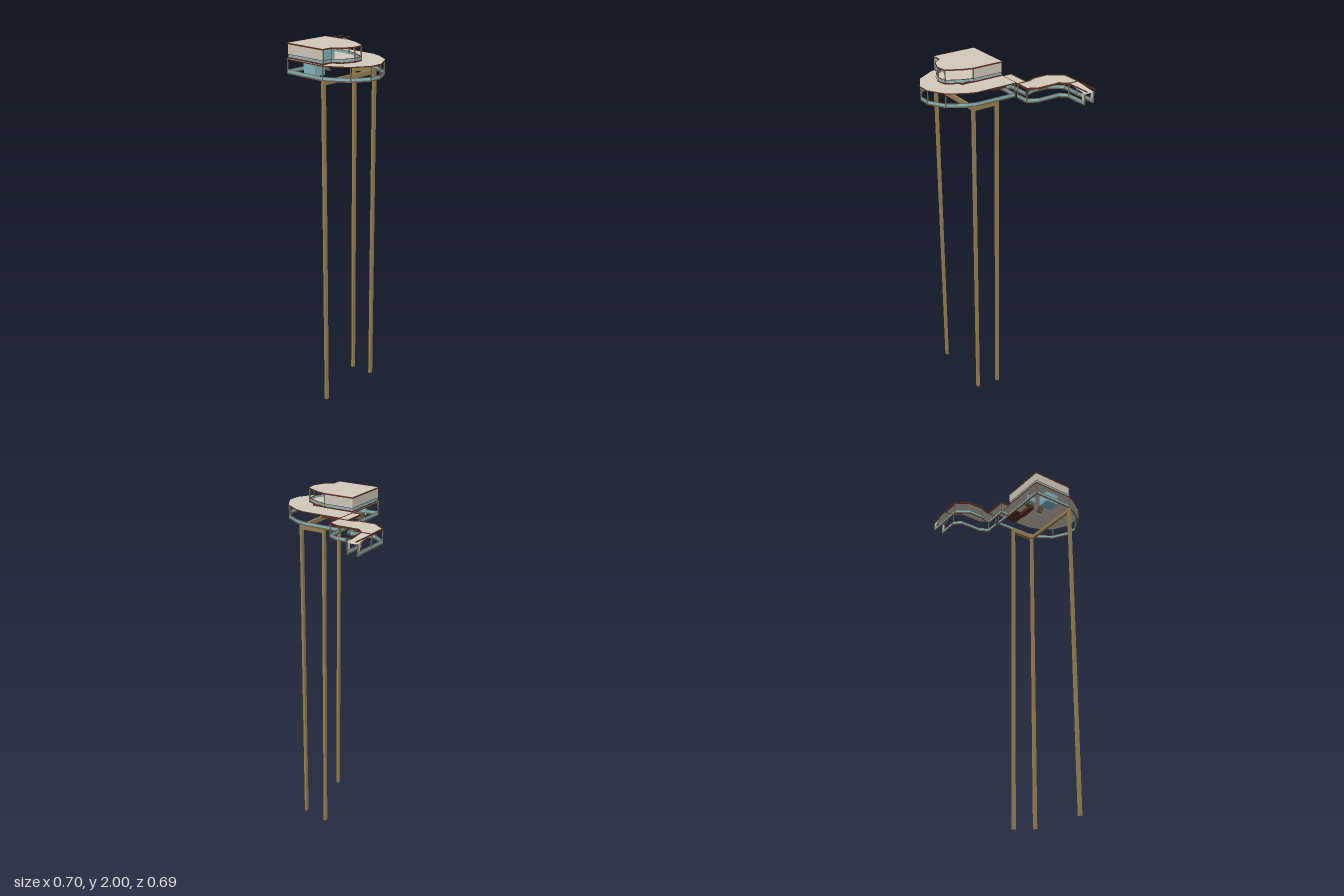
import * as THREE from 'three';

const mat = (name, color) => Object.assign(new THREE.MeshStandardMaterial({ color }), { name });
const M = {
  panel: mat('warm grey panel', 0xd2cabb),
  trim: mat('red brown trim', 0x5c3020),
  timber: mat('tan timber', 0x9a8252),
  glass: mat('pale teal glass', 0x86b7bf),
  frame: mat('olive grey frame', 0x6c6450),
};

// Plan outlines as [x, z]
const DECK = [[-0.075, -0.045], [0.155, -0.045], [0.21, -0.028], [0.298, 0.025], [0.351, 0.115],
  [0.351, 0.185], [0.298, 0.275], [0.21, 0.33], [0.175, 0.346], [-0.075, 0.346]];
const UPPER = [[-0.072, 0.073], [0.1, 0.073], [0.155, 0.088], [0.237, 0.13], [0.245, 0.185],
  [0.22, 0.25], [0.175, 0.283], [0.175, 0.34], [-0.072, 0.34]];
const WALK = [[-0.349, -0.205], [-0.293, -0.205], [-0.257, -0.17], [-0.127, -0.17], [-0.075, -0.143],
  [-0.075, -0.063], [-0.145, -0.063], [-0.19, -0.045], [-0.277, -0.045], [-0.349, -0.098]];
const LINK = [[-0.127, -0.063], [-0.075, -0.063], [-0.075, 0.07], [-0.127, 0.07]];
const RAMP = [[-0.349, -0.332], [-0.293, -0.332], [-0.293, -0.205], [-0.349, -0.205]];

// Pulls an outline slightly in towards its middle, so that rails sit under the roof edge
const inset = (pts, d) => {
  const cx = pts.reduce((s, p) => s + p[0], 0) / pts.length;
  const cz = pts.reduce((s, p) => s + p[1], 0) / pts.length;
  return pts.map(([x, z]) => {
    const k = 1 - d / Math.hypot(x - cx, z - cz);
    return [cx + (x - cx) * k, cz + (z - cz) * k];
  });
};

export function createModel() {
  const root = new THREE.Group();
  root.name = 'stiltHouse';

  const add = (parent, name, geo, material) => {
    const m = new THREE.Mesh(geo, material);
    m.name = name;
    parent.add(m);
    return m;
  };
  const group = (name) => {
    const g = new THREE.Group();
    g.name = name;
    root.add(g);
    return g;
  };
  // Box given by its limits
  const box = (parent, name, x0, x1, y0, y1, z0, z1, material) => {
    const m = add(parent, name, new THREE.BoxGeometry(x1 - x0, y1 - y0, z1 - z0), material);
    m.position.set((x0 + x1) / 2, (y0 + y1) / 2, (z0 + z1) / 2);
  };
  // Flat slab over a plan outline, with its own edge colour
  const slab = (parent, name, pts, y0, y1, edge = M.trim) => {
    const shape = new THREE.Shape(pts.map(([x, z]) => new THREE.Vector2(x, z)));
    const geo = new THREE.ExtrudeGeometry(shape, { depth: y1 - y0, bevelEnabled: false });
    geo.rotateX(Math.PI / 2).translate(0, y1, 0);
    add(parent, name, geo, [M.panel, edge]);
  };
  // Upright strip between two plan points
  const strip = (parent, name, [ax, az], [bx, bz], y0, y1, w, material) => {
    const m = add(parent, name, new THREE.BoxGeometry(Math.hypot(bx - ax, bz - az) + w * 0.5, y1 - y0, w), material);
    m.position.set((ax + bx) / 2, (y0 + y1) / 2, (az + bz) / 2);
    m.rotation.y = -Math.atan2(bz - az, bx - ax);
  };
  const ring = (parent, name, pts, y0, y1, w, material, skip = []) => pts.forEach((p, i) => {
    if (!skip.includes(i)) strip(parent, name, p, pts[(i + 1) % pts.length], y0, y1, w, material);
  });
  const railing = (parent, pts, y, skip, rail = M.frame) => {
    ring(parent, 'railingGlass', pts, y, y + 0.012, 0.002, M.glass, skip);
    ring(parent, 'handrail', pts, y + 0.012, y + 0.0145, 0.004, rail, skip);
  };
  // Open floor frame with a glass railing on it
  const openFloor = (parent, pts, skip) => {
    ring(parent, 'floorFrame', pts, 1.845, 1.852, 0.007, M.frame, skip);
    railing(parent, pts, 1.852, skip);
  };
  const posts = (parent, pts, y0, y1) => pts.forEach(([x, z]) =>
    box(parent, 'post', x - 0.0025, x + 0.0025, y0, y1, z - 0.0025, z + 0.0025, M.frame));

  // Stilts and the beams joining them
  const stilts = group('stilts');
  [[0.034, -0.033, 0], [0.174, -0.033, 0.02], [0.174, 0.335, 0.02]].forEach(([x, z, y]) =>
    box(stilts, 'stilt', x - 0.007, x + 0.007, y, 1.846, z - 0.01, z + 0.01, M.timber));
  box(stilts, 'crossBeam', 0.027, 0.181, 1.824, 1.846, -0.043, -0.023, M.timber);
  box(stilts, 'longBeam', 0.167, 0.181, 1.824, 1.846, -0.043, 0.344, M.timber);

  // Main deck with its roof
  const deck = group('mainDeck');
  const deckIn = inset(DECK, 0.004);
  openFloor(deck, deckIn, []);
  slab(deck, 'deckRoof', DECK, 1.916, 1.922);
  posts(deck, deckIn.filter((p, i) => ![1, 2, 7].includes(i)), 1.852, 1.916);

  // Angled walkway
  const walk = group('walkway');
  openFloor(walk, WALK, [0, 5]);
  slab(walk, 'walkwayRoof', WALK, 1.915, 1.92);
  ring(walk, 'roofEdge', WALK, 1.914, 1.923, 0.006, M.trim);
  posts(walk, [0, 1, 4, 5, 7, 9].map((i) => WALK[i]), 1.852, 1.915);

  // Link to the deck
  const linkIn = inset(LINK, 0.004);
  openFloor(walk, linkIn, [0, 1]);
  slab(walk, 'linkRoof', LINK, 1.915, 1.92);
  ring(walk, 'linkRoofEdge', LINK, 1.914, 1.923, 0.003, M.trim);
  posts(walk, linkIn.slice(2), 1.852, 1.915);

  // Entrance with a sloping canopy and two long rails
  openFloor(walk, RAMP, [0, 2]);
  posts(walk, RAMP.slice(0, 2), 1.852, 1.905);
  const canopy = add(walk, 'entranceCanopy', new THREE.BoxGeometry(0.053, 0.003, 0.129), M.panel);
  canopy.position.set(-0.321, 1.911, -0.269);
  canopy.rotation.x = -0.12;
  [-0.349, -0.293].forEach((x) => {
    box(walk, 'entranceRail', x - 0.002, x + 0.002, 1.916, 1.922, -0.347, -0.205, M.trim);
    box(walk, 'entrancePanel', x - 0.0015, x + 0.0015, 1.867, 1.903, -0.328, -0.312, M.panel);
  });

  // Glazed cabin, counter and stair on the deck
  const rooms = group('deckRooms');
  box(rooms, 'glassCabin', 0.02, 0.1, 1.852, 1.916, 0.25, 0.32, M.glass);
  box(rooms, 'glassScreen', -0.06, 0, 1.87, 1.905, 0.235, 0.24, M.glass);
  box(rooms, 'cabinet', -0.055, -0.005, 1.852, 1.885, 0.2, 0.23, M.frame);
  box(rooms, 'counter', 0, 0.03, 1.87, 1.891, 0.08, 0.185, M.trim);
  box(rooms, 'shelf', -0.03, 0.05, 1.9, 1.908, -0.03, 0.07, M.trim);
  for (let i = 0; i < 7; i++) {
    const z = 0.185 + i * 0.009, y = 1.859 + i * 0.008;
    box(rooms, 'stairStep', 0.045, 0.08, y, y + 0.004, z, z + 0.01, M.frame);
  }

  // Upper storey: solid walls on three sides, open curved balcony
  const top = group('upperStorey');
  const upperIn = inset(UPPER, 0.004);
  slab(top, 'upperFloor', UPPER, 1.922, 1.93);
  railing(top, upperIn, 1.93, [], M.trim);
  [[7, 8], [8, 0], [0, 1]].forEach(([a, b]) =>
    strip(top, 'upperWall', upperIn[a], upperIn[b], 1.9445, 1.994, 0.004, M.panel));
  strip(top, 'sideWindow', upperIn[6], upperIn[7], 1.9445, 1.988, 0.004, M.glass);
  box(top, 'innerWindow', 0.162, 0.166, 1.93, 1.988, 0.25, 0.32, M.glass);
  posts(top, [1, 3, 4, 6, 7].map((i) => upperIn[i]), 1.93, 1.994);
  slab(top, 'upperRoof', UPPER, 1.994, 1.9995);
  ring(top, 'upperRoofEdge', UPPER, 1.993, 2, 0.003, M.trim);
  box(top, 'balconyBeam', 0.115, 0.175, 1.922, 1.932, 0.077, 0.082, M.trim);

  return root;
}
